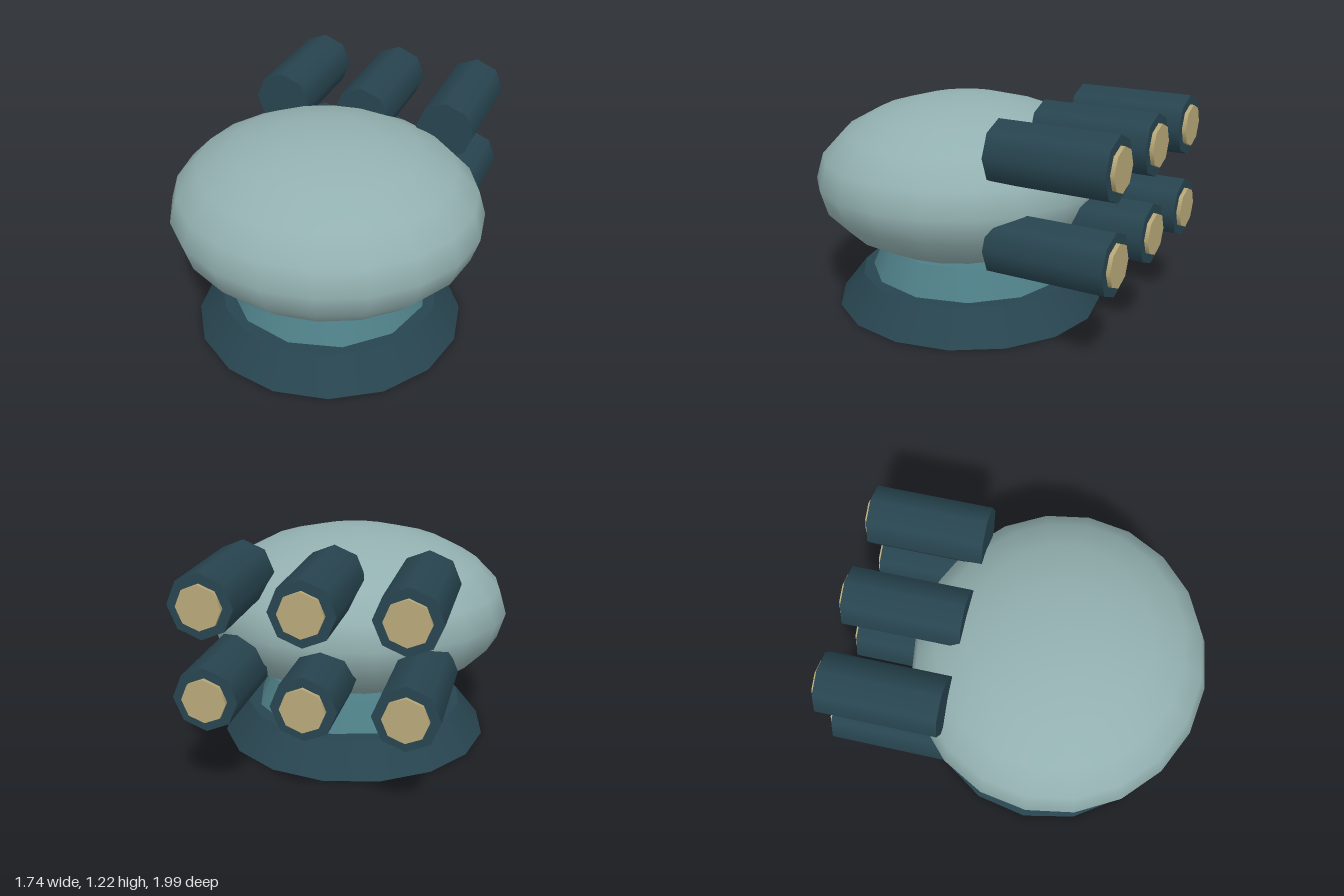
import * as THREE from 'three';

const mat = (color) => new THREE.MeshStandardMaterial({ color });
const lightTeal = mat(0x93b0b0);
const midTeal = mat(0x4f8088);
const darkTeal = mat(0x27444f);
const tan = mat(0xb8a878);

function addMesh(parent, name, geometry, material, x, y, z) {
  const mesh = new THREE.Mesh(geometry, material);
  mesh.name = name;
  mesh.position.set(x, y, z);
  parent.add(mesh);
  return mesh;
}

// Cylinder lying along z, with a corner pointing up
const rod = (radius, length) => new THREE.CylinderGeometry(radius, radius, length, 8).rotateX(-Math.PI / 2);

export function createModel() {
  const model = new THREE.Group();
  model.name = 'turret';

  // Stepped, tapering pedestal
  addMesh(model, 'base', new THREE.CylinderGeometry(0.63, 0.77, 0.18, 16), darkTeal, 0, 0.09, 0.137);
  addMesh(model, 'collar', new THREE.CylinderGeometry(0.5, 0.57, 0.17, 12), midTeal, 0, 0.265, 0.137);

  // Flattened dome body
  const body = new THREE.SphereGeometry(1, 20, 10).scale(0.87, 0.455, 0.82);
  addMesh(model, 'body', body, lightTeal, 0, 0.74, 0.172);

  // Two rows of three barrels pointing backwards
  const barrelGeometry = rod(0.167, 0.643);
  const tipGeometry = rod(0.115, 0.1);
  for (const y of [0.573, 1.052]) {
    for (const x of [-0.497, 0, 0.497]) {
      const barrel = new THREE.Group();
      barrel.name = 'barrel';
      barrel.position.set(x, y, 0);
      addMesh(barrel, 'barrelTube', barrelGeometry, darkTeal, 0, 0, -0.657);
      addMesh(barrel, 'barrelTip', tipGeometry, tan, 0, 0, -0.95);
      model.add(barrel);
    }
  }
  return model;
}
